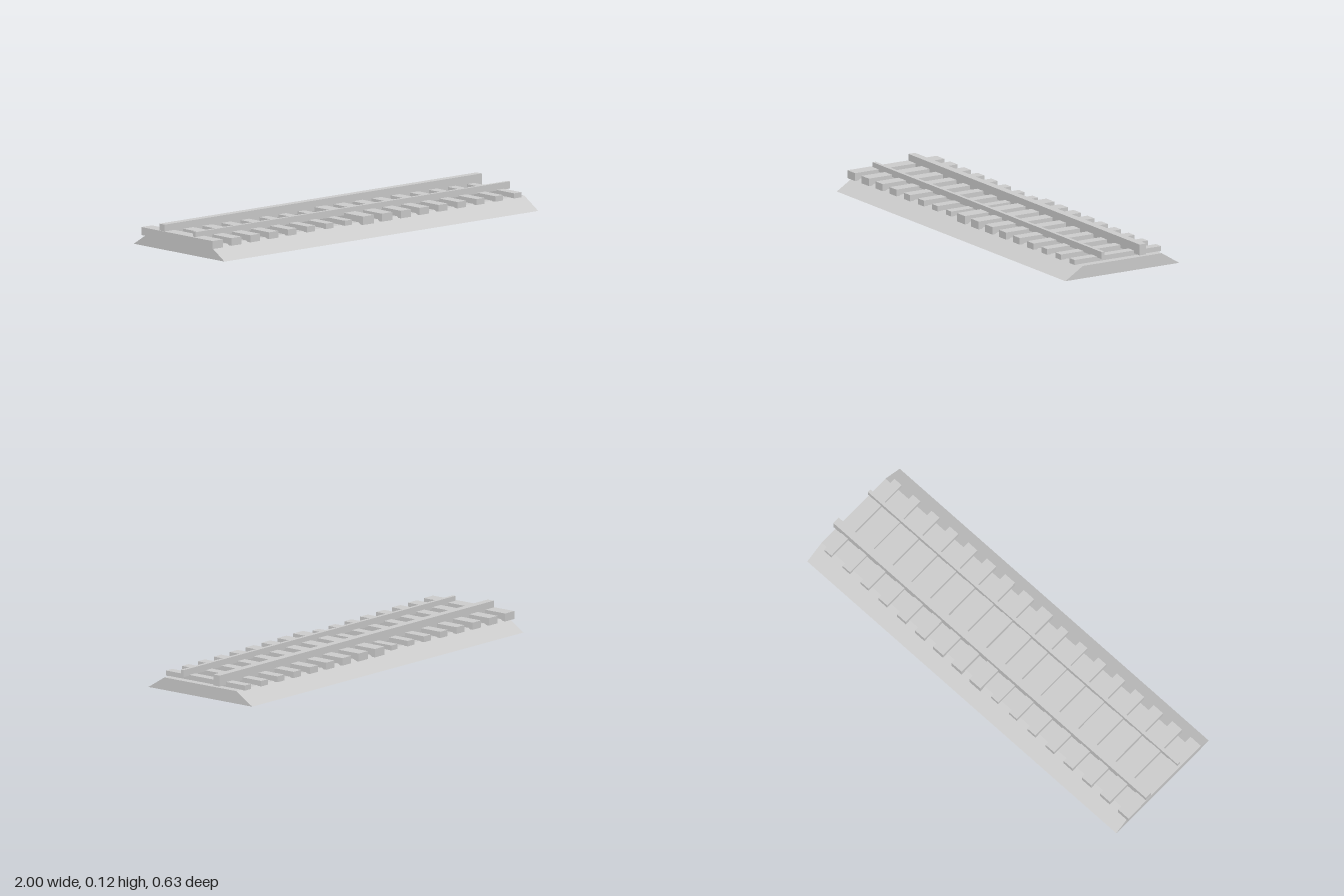
import * as THREE from 'three';

export function createModel() {
  const model = new THREE.Group();
  model.name = 'railwayTrack';
  const grey = new THREE.MeshStandardMaterial({ color: 0xcccccc });
  grey.name = 'plainGrey';

  const add = (name, geometry, x, y, z, parent = model) => {
    const mesh = new THREE.Mesh(geometry, grey);
    mesh.name = name;
    mesh.position.set(x, y, z);
    parent.add(mesh);
  };

  // Ballast bed: trapezoid section run along x
  const section = new THREE.Shape([
    new THREE.Vector2(-0.315, 0), new THREE.Vector2(0.315, 0),
    new THREE.Vector2(0.218, 0.06), new THREE.Vector2(-0.218, 0.06),
  ]);
  const length = 1.972;
  const bed = new THREE.ExtrudeGeometry(section, { depth: length, bevelEnabled: false });
  bed.translate(0, 0, -length / 2).rotateY(Math.PI / 2);
  add('ballastBed', bed, 0, 0, 0);

  // Sleepers: two runs, each shrinking slightly along the track
  const sleepers = new THREE.Group();
  sleepers.name = 'sleepers';
  model.add(sleepers);
  for (let i = 0; i < 17; i++) {
    const step = i < 8 ? i + 1 : i - 8;
    const box = new THREE.BoxGeometry(0.069 - 0.003 * step, 0.04 - 0.002 * step, 0.496 - 0.0021 * step);
    add('sleeper', box, -0.967 + 0.1183 * i, 0.071, 0, sleepers);
  }

  // Rails: a heavy one at the back, a slim one at the front
  add('backRail', new THREE.BoxGeometry(1.994, 0.052, 0.037), 0, 0.096, -0.107);
  add('frontRail', new THREE.BoxGeometry(1.976, 0.034, 0.017), 0, 0.096, 0.108);

  return model;
}
